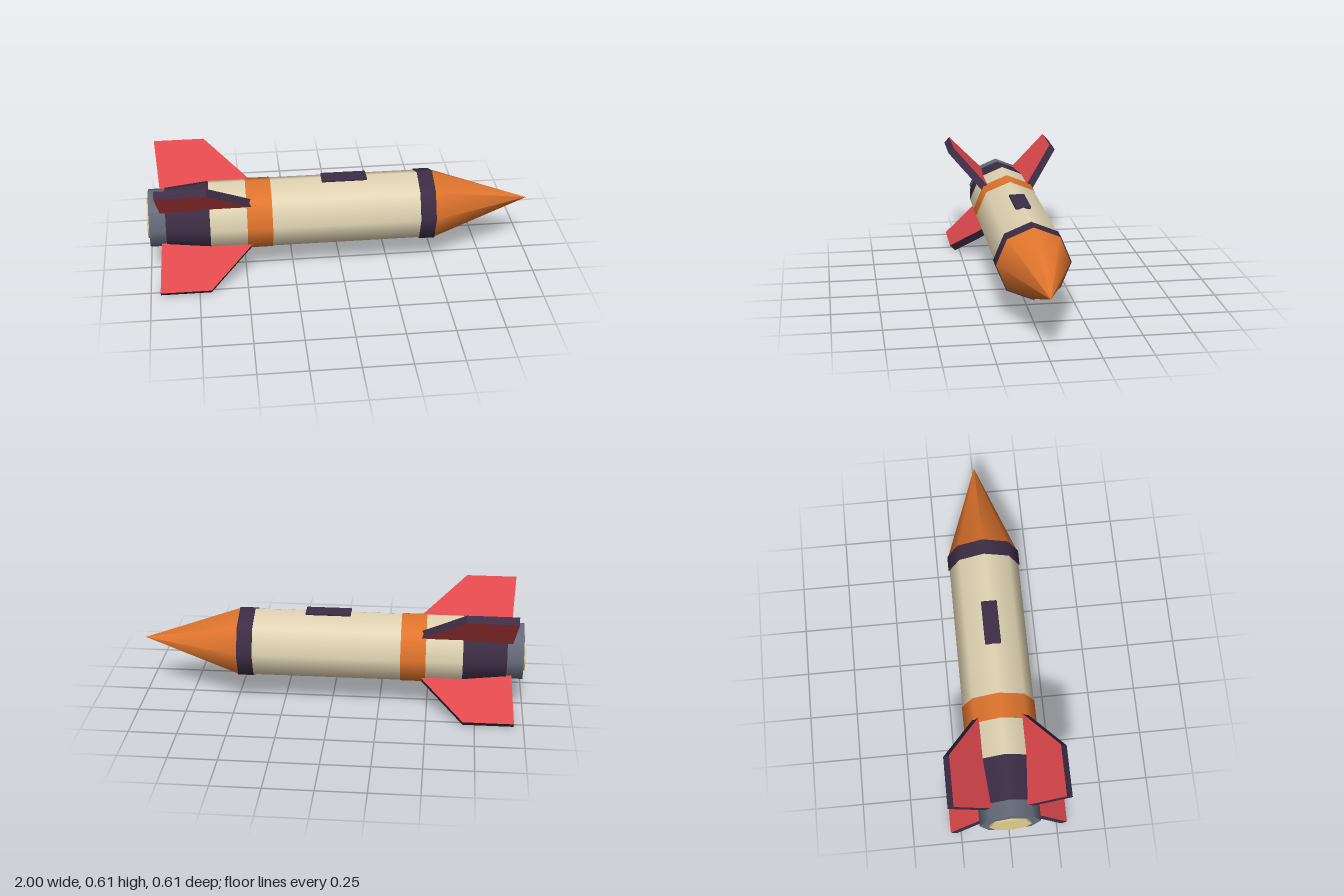
import * as THREE from 'three';
import { RoundedBoxGeometry } from 'three/addons/geometries/RoundedBoxGeometry.js';

const mat = (name, color) => new THREE.MeshStandardMaterial({ name, color });

export function createModel() {
  const cream = mat('cream', 0xe3d6b5);
  const orange = mat('orange', 0xe2762e);
  const plum = mat('dark plum', 0x3d2d45);
  const red = mat('red', 0xdf484d);
  const steel = mat('steel grey', 0x666c7c);
  const glow = mat('pale yellow', 0xe2cf8e);

  const rocket = new THREE.Group();
  rocket.name = 'rocket';
  rocket.position.y = 0.305;

  const add = (name, geometry, material) => {
    const mesh = new THREE.Mesh(geometry, material);
    mesh.name = name;
    rocket.add(mesh);
    return mesh;
  };

  // Eight-sided section along x, from rear (x0, r0) to front (x1, r1)
  const section = (name, x0, x1, r0, r1, material) => {
    const g = new THREE.CylinderGeometry(r1, r0, x1 - x0, 8);
    g.rotateZ(-Math.PI / 2);
    g.translate((x0 + x1) / 2, 0, 0);
    return add(name, g, material);
  };

  section('exhaustDisc', -1, -0.98, 0.108, 0.108, glow);
  section('nozzle', -0.99, -0.9, 0.155, 0.155, steel);
  section('tailCone', -0.905, -0.68, 0.16, 0.185, plum);
  section('body', -0.68, 0.41, 0.185, 0.185, cream);
  section('bodyBand', -0.49, -0.36, 0.188, 0.188, orange);
  section('noseCollar', 0.407, 0.487, 0.191, 0.191, plum);

  // Nose cone
  const nose = new THREE.ConeGeometry(0.186, 0.513, 8);
  nose.rotateZ(-Math.PI / 2);
  nose.translate(0.7435, 0, 0);
  add('noseCone', nose, orange);

  // Hatch on top of the body
  const hatch = new RoundedBoxGeometry(0.235, 0.016, 0.082, 2, 0.005);
  hatch.translate(0.0225, 0.183, 0);
  add('hatch', hatch, plum);

  // Four diagonal fins: red faces, dark edges
  const thickness = 0.042;
  const outline = new THREE.Shape([
    [-0.93, 0.12], [-0.465, 0.12], [-0.465, 0.177], [-0.69, 0.409], [-0.95, 0.409],
  ].map(([x, r]) => new THREE.Vector2(x, r)));
  const finGeometry = new THREE.ExtrudeGeometry(outline, { depth: thickness, bevelEnabled: false });
  finGeometry.translate(0, 0, -thickness / 2);
  for (let i = 0; i < 4; i++) {
    add('fin' + (i + 1), finGeometry, [red, plum]).rotation.x = Math.PI / 4 + i * Math.PI / 2;
  }

  const model = new THREE.Group();
  model.name = 'model';
  model.add(rocket);
  return model;
}
